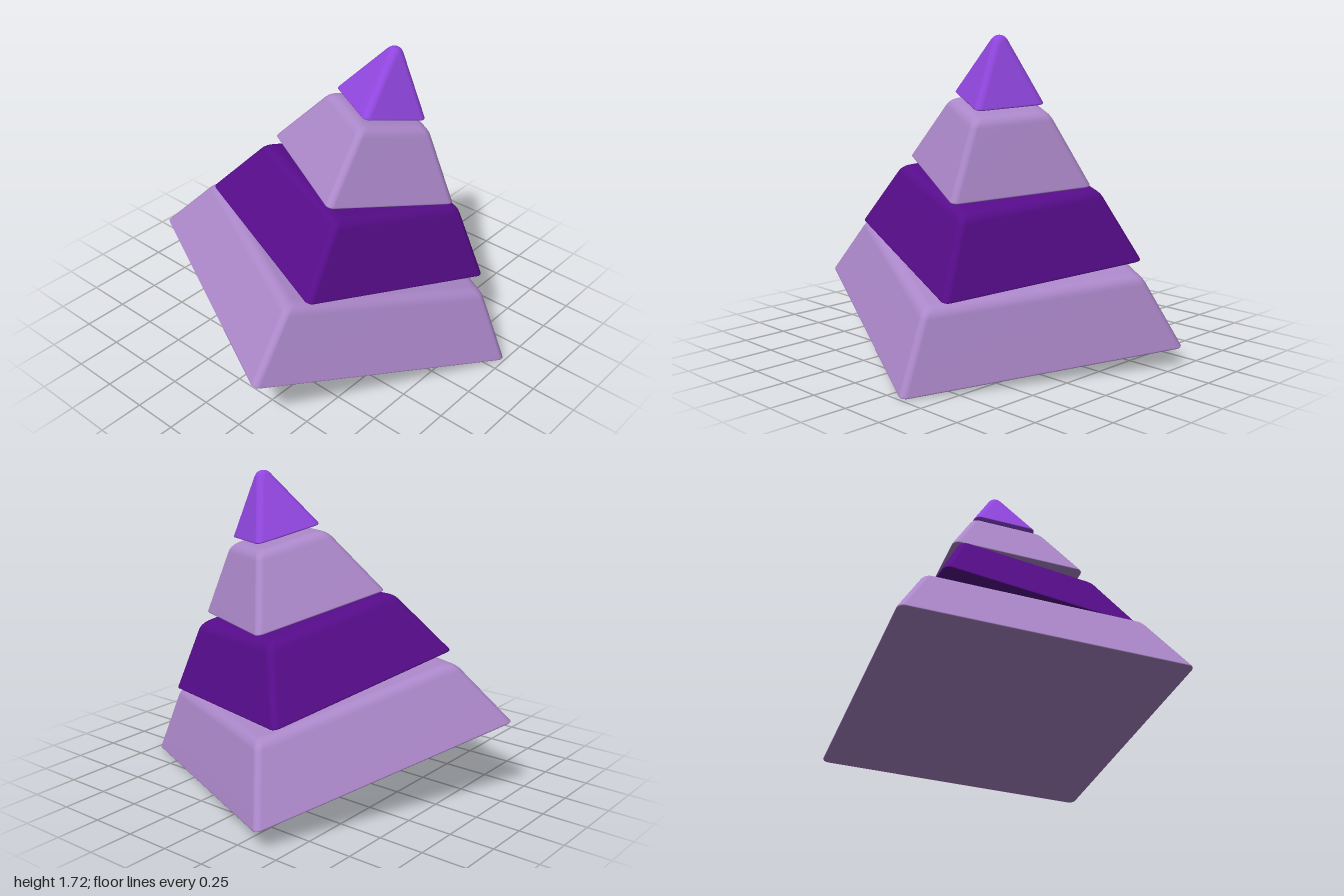
import * as THREE from 'three';

const CORNER = 0.035; // rounding of the four sloping edges
const ARC = 6;

// Square outline with rounded corners, as [x, z] pairs
function roundedSquare(half) {
  const r = Math.min(CORNER, half), c = half - r, pts = [];
  for (let q = 0; q < 4; q++) {
    const mid = Math.PI / 4 + q * Math.PI / 2;
    const sx = Math.sign(Math.cos(mid)), sz = Math.sign(Math.sin(mid));
    for (let k = 0; k <= ARC; k++) {
      const a = (q + k / ARC) * Math.PI / 2;
      pts.push([sx * c + r * Math.cos(a), sz * c + r * Math.sin(a)]);
    }
  }
  return pts;
}

// Softened corner of the side profile, cut back by d on both sides
function soften(before, corner, after, d) {
  const a = corner.clone().add(before.clone().sub(corner).setLength(d));
  const b = corner.clone().add(after.clone().sub(corner).setLength(d));
  return new THREE.QuadraticBezierCurve(a, corner, b).getPoints(6);
}

// Square frustum with soft edges, made of rings from underside to top
function tierGeometry(bottomHalf, topHalf, height, topRound) {
  const V = (x, y) => new THREE.Vector2(x, y);
  const p = [V(0, 0), V(bottomHalf, 0), V(topHalf, height), V(0, height)];
  const profile = [p[0], ...soften(p[0], p[1], p[2], 0.012), ...soften(p[1], p[2], p[3], topRound), p[3]];
  const pos = [], index = [], n = 4 * (ARC + 1);
  for (const s of profile) {
    for (const [x, z] of roundedSquare(Math.max(s.x, 0))) pos.push(x, s.y, z);
  }
  for (let j = 0; j < profile.length - 1; j++) {
    for (let i = 0; i < n; i++) {
      const a = j * n + i, b = j * n + (i + 1) % n;
      index.push(a, a + n, b, b, a + n, b + n);
    }
  }
  const g = new THREE.BufferGeometry();
  g.setAttribute('position', new THREE.Float32BufferAttribute(pos, 3));
  g.setIndex(index);
  g.computeVertexNormals();
  return g;
}

export function createModel() {
  const mat = (name, color) => {
    const m = new THREE.MeshStandardMaterial({ color });
    m.name = name;
    return m;
  };
  const lilac = mat('lilac', 0xab87c9);
  const indigo = mat('deep purple', 0x560c8a);
  const violet = mat('bright violet', 0x9146df);

  // Tiers along the leaning axis; the second one is twisted a little
  const slope = 0.476;
  const tiers = [
    { name: 'baseTier', y0: 0, y1: 0.37, m: lilac, twist: 0, round: 0.05 },
    { name: 'lowerTier', y0: 0.404, y1: 0.775, m: indigo, twist: 0.115, round: 0.05 },
    { name: 'upperTier', y0: 0.808, y1: 1.18, m: lilac, twist: 0, round: 0.05 },
    { name: 'tipTier', y0: 1.212, y1: 1.545, m: violet, twist: 0, round: 0.0279 },
  ];
  const pyramid = new THREE.Group();
  pyramid.name = 'pyramid';
  for (const t of tiers) {
    const half = (y) => 0.765 - slope * y;
    const mesh = new THREE.Mesh(tierGeometry(half(t.y0), half(t.y1), t.y1 - t.y0, t.round), t.m);
    mesh.name = t.name;
    mesh.position.y = t.y0;
    mesh.rotation.y = t.twist;
    pyramid.add(mesh);
  }

  // Lean the whole stack so it rests on one corner
  const u = new THREE.Vector3(1.35, -0.32, 0.62).normalize();
  const v = new THREE.Vector3(0.65, 0.1, -1.36).normalize();
  const up = u.clone().cross(v).normalize();
  const w = u.clone().cross(up);
  pyramid.quaternion.setFromRotationMatrix(new THREE.Matrix4().makeBasis(u, up, w));
  pyramid.position.y = 0.213;

  const model = new THREE.Group();
  model.name = 'tieredPyramid';
  model.add(pyramid);
  return model;
}
